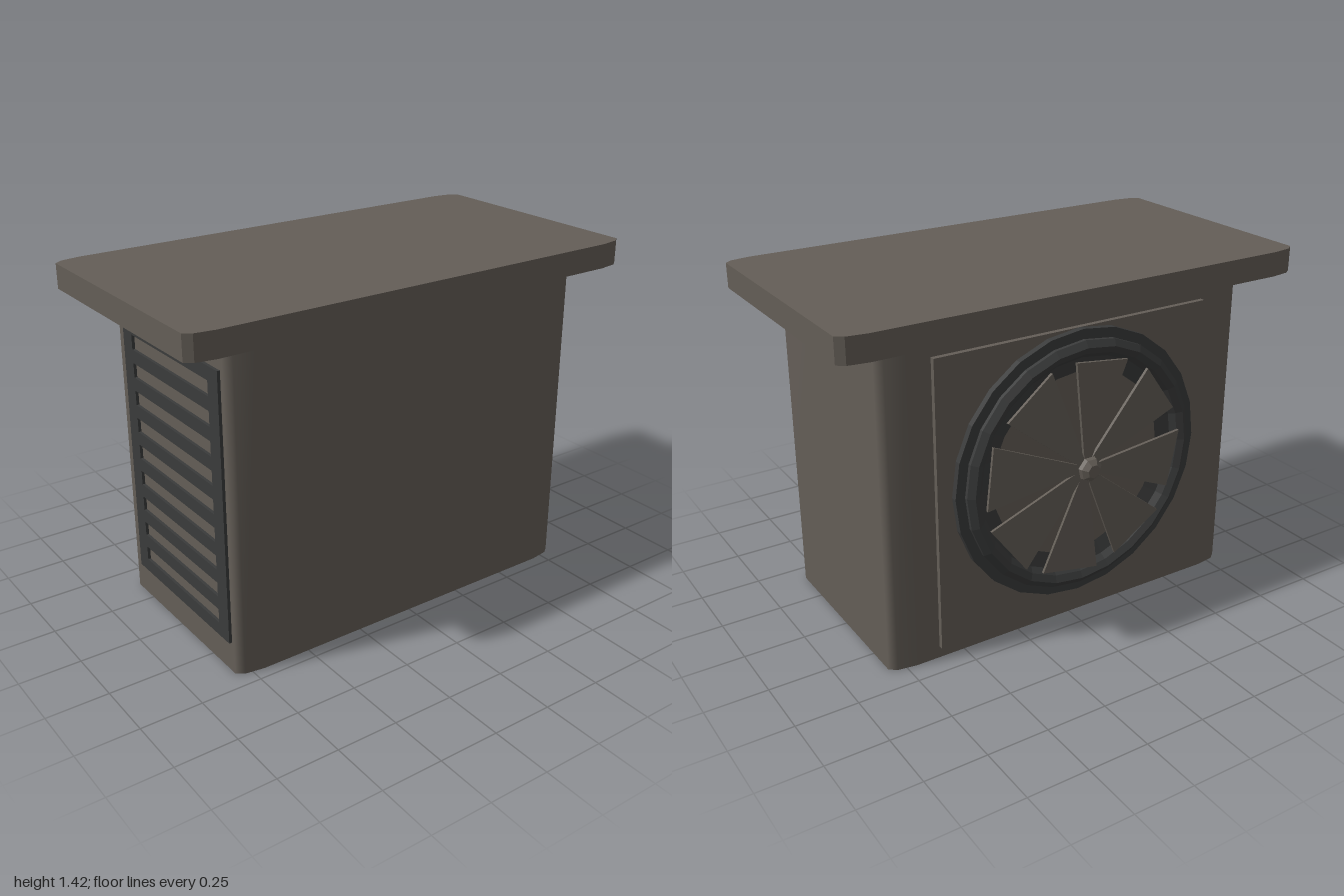
import * as THREE from 'three';

const casing = new THREE.MeshStandardMaterial({ color: 0x645e57, side: THREE.DoubleSide });
casing.name = 'warm grey casing';
const panel = new THREE.MeshStandardMaterial({ color: 0x645e57, flatShading: true });
panel.name = 'warm grey panel';
const dark = new THREE.MeshStandardMaterial({ color: 0x3a3b3b, flatShading: true, side: THREE.DoubleSide });
dark.name = 'charcoal trim';

function add(parent, name, geometry, material, x = 0, y = 0, z = 0) {
  const mesh = new THREE.Mesh(geometry, material);
  mesh.name = name;
  mesh.position.set(x, y, z);
  parent.add(mesh);
  return mesh;
}

// Rectangle with softened corners, counter-clockwise
function outline(hx, hy) {
  const corner = [[hx, hy - 0.035], [hx - 0.03, hy - 0.012], [hx - 0.11, hy]];
  const flipped = [...corner].reverse();
  return [
    ...corner,
    ...flipped.map(([x, y]) => [-x, y]),
    ...corner.map(([x, y]) => [-x, -y]),
    ...flipped.map(([x, y]) => [x, -y]),
  ].map(([x, y]) => new THREE.Vector2(x, y));
}

// Upright wall around an outline, open at both ends
function wall(points, height) {
  const pos = [], index = [], n = points.length;
  points.forEach((p, i) => {
    pos.push(p.x, 0, -p.y, p.x, height, -p.y);
    const a = 2 * i, b = 2 * ((i + 1) % n);
    index.push(a, b, b + 1, a, b + 1, a + 1);
  });
  const g = new THREE.BufferGeometry();
  g.setAttribute('position', new THREE.Float32BufferAttribute(pos, 3));
  g.setIndex(index);
  g.computeVertexNormals();
  return g;
}

function rect(PathType, x0, y0, x1, y1) {
  return new PathType([[x0, y0], [x1, y0], [x1, y1], [x0, y1]].map(p => new THREE.Vector2(...p)));
}

// Slotted plate in the z-y plane, thickened towards -x
function louvre(depth) {
  const shape = rect(THREE.Shape, -0.32, 0.13, 0.4, 1.22);
  for (let i = 0; i < 9; i++) {
    const y = 0.185 + i * 0.115;
    shape.holes.push(rect(THREE.Path, -0.25, y, 0.33, y + 0.06));
  }
  return new THREE.ExtrudeGeometry(shape, { depth, bevelEnabled: false }).rotateY(-Math.PI / 2);
}

export function createModel() {
  const model = new THREE.Group();
  model.name = 'ventilationUnit';

  // Hollow casing and overhanging lid
  add(model, 'casing', wall(outline(0.813, 0.43), 1.33), casing, 0.003, 0, 0.02);
  const lid = new THREE.ExtrudeGeometry(new THREE.Shape(outline(1, 0.528)), { depth: 0.1, bevelEnabled: false });
  add(model, 'lid', lid.rotateX(-Math.PI / 2), panel, 0, 1.32, 0.007);

  // Side louvre, outside and inside
  add(model, 'sideLouvre', louvre(0.013), dark, -0.809);
  add(model, 'innerLouvre', louvre(0.015), panel, -0.785);

  // Back mounting plate
  add(model, 'backPlate', new THREE.BoxGeometry(1.22, 1.195, 0.025), panel, 0, 0.648, -0.418);

  // Fan, built facing +z then turned to the back
  const fan = new THREE.Group();
  fan.name = 'fan';
  fan.position.set(-0.008, 0.688, 0);
  fan.rotation.y = Math.PI;
  model.add(fan);

  const profile = [[0.558, 0.43], [0.558, 0.456], [0.518, 0.456], [0.518, 0.471], [0.492, 0.489],
    [0.465, 0.475], [0.445, 0.452], [0.385, 0.434]];
  const ring = new THREE.LatheGeometry(profile.map(p => new THREE.Vector2(...p)), 24);
  add(fan, 'fanRing', ring.rotateX(Math.PI / 2), dark);

  // Tapered blades with a slight pitch
  const bladeShape = new THREE.Shape([[0.02, -0.012], [0.435, -0.125], [0.435, 0.125], [0.02, 0.012]]
    .map(p => new THREE.Vector2(...p)));
  for (let i = 0; i < 8; i++) {
    const blade = new THREE.ExtrudeGeometry(bladeShape, { depth: 0.012, bevelEnabled: false });
    blade.rotateX(0.06).rotateZ(THREE.MathUtils.degToRad(36.5 + 45 * i));
    add(fan, 'fanBlade', blade, panel, 0, 0, 0.483);
  }

  // Faceted hub
  const hub = [[0.025, 0.47], [0.052, 0.5], [0.048, 0.517], [0.028, 0.535], [0, 0.535]];
  const hubGeometry = new THREE.LatheGeometry(hub.map(p => new THREE.Vector2(...p)), 7);
  add(fan, 'fanHub', hubGeometry.rotateX(Math.PI / 2), panel, 0.01, 0, 0);

  return model;
}
